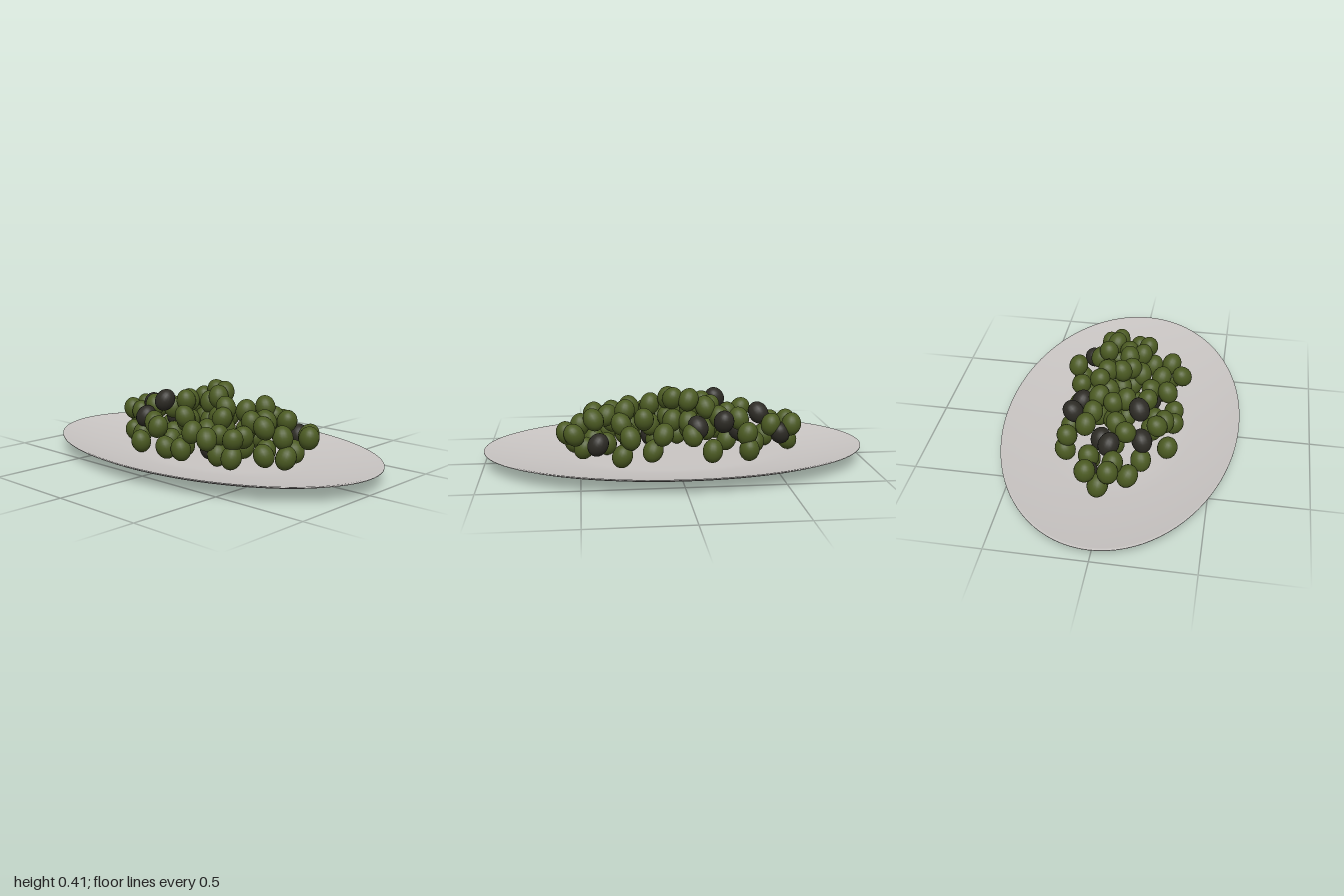
import * as THREE from 'three';

const material = (name, color) => {
  const m = new THREE.MeshStandardMaterial({ color });
  m.name = name;
  return m;
};

// Heap layers: height of the olive centres and their [x, z] places.
const greenLayers = [
  { y: 0.1, at: [[-0.5, 0.1], [-0.26, 0.27], [-0.06, 0.28], [0.04, 0.27], [0.35, 0.23], [-0.6, -0.03],
    [-0.41, -0.1], [-0.36, -0.24], [-0.17, -0.25], [0.13, -0.2], [0.29, -0.27], [0.53, 0.03],
    [0.48, -0.1], [0.43, 0.08], [0.22, 0.19], [-0.38, 0.15], [-0.14, 0.17], [-0.28, 0],
    [0.24, 0.01], [0.36, -0.02], [0.1, 0.05], [-0.03, 0.17]] },
  { y: 0.19, at: [[-0.61, -0.09], [-0.6, 0.02], [-0.5, -0.09], [-0.52, 0.03], [-0.35, -0.23], [-0.22, 0.21],
    [-0.16, 0.24], [-0.07, -0.22], [0.08, 0.23], [0.24, 0.29], [0.08, -0.24], [0.25, -0.29],
    [0.53, -0.15], [0.57, -0.1], [0.5, 0.02], [0.33, 0.12], [0.22, 0.18], [0.1, 0.14], [0.35, 0.22]] },
  { y: 0.245, at: [[-0.36, 0.07], [-0.32, -0.14], [-0.28, 0.01], [-0.06, 0.14], [0.15, 0.08], [0.29, -0.17],
    [0.43, -0.1], [0.36, -0.02], [0.33, 0.06], [0.43, 0.08], [0.17, -0.1], [-0.22, -0.12]] },
  { y: 0.295, at: [[-0.15, 0.04], [-0.18, -0.02], [-0.15, -0.1], [0.13, 0.03], [0.24, 0],
    [0.27, -0.12], [-0.07, -0.06]] },
  { y: 0.34, at: [[0.04, -0.01], [-0.06, -0.11], [0.02, -0.08]] },
];
const darkOlives = [[-0.45, 0.24, 0], [-0.35, 0.2, 0.15], [-0.23, 0.3, 0.12], [-0.23, 0.25, -0.22],
  [-0.1, 0.22, -0.2], [-0.55, 0.15, -0.09], [-0.33, 0.17, -0.06], [0.41, 0.15, -0.23], [0.12, 0.1, 0.14]];

// Oval plate: a closed lathe profile squeezed along z.
function createPlate(glaze) {
  const profile = [[0, 0.012], [0.4, 0.012], [0.49, 0.004], [0.51, 0], [0.53, 0], [0.58, 0.012],
    [0.66, 0.026], [0.78, 0.038], [0.9, 0.053], [0.97, 0.066], [1, 0.075], [1, 0.079],
    [0.985, 0.079], [0.93, 0.069], [0.78, 0.052], [0.62, 0.038], [0.5, 0.031], [0, 0.031]]
    .map(([r, y]) => new THREE.Vector2(r, y));
  const plate = new THREE.Mesh(new THREE.LatheGeometry(profile, 96), glaze);
  plate.name = 'plate';
  plate.scale.z = 0.623;
  return plate;
}

export function createModel() {
  const model = new THREE.Group();
  model.name = 'plateOfOlives';
  const green = material('olive green', 0x4b5a22);
  const black = material('black olive', 0x2d2b25);
  model.add(createPlate(material('plate glaze', 0xc9c5c3)));

  let seed = 7;
  const wobble = (amount) => {
    seed = (seed * 16807) % 2147483647;
    return (seed / 2147483647 * 2 - 1) * amount;
  };

  // Olives: slightly stretched spheres standing at small random tilts.
  const oliveGeometry = new THREE.SphereGeometry(0.052, 20, 14);
  const heap = new THREE.Group();
  heap.name = 'oliveHeap';
  const addOlive = (name, x, y, z, skin) => {
    const olive = new THREE.Mesh(oliveGeometry, skin);
    olive.name = name;
    olive.position.set(x, y, z);
    olive.scale.set(1, 1.18, 1);
    olive.rotation.set(wobble(0.5), 0, wobble(0.5));
    heap.add(olive);
  };

  for (const { y, at } of greenLayers) {
    for (const [x, z] of at) {
      addOlive('greenOlive', x, y + wobble(0.008), z, green);
      // Supporting olives inside the taller part of the heap
      if (y > 0.27) addOlive('innerOlive', x, y - 0.11, z, green);
    }
  }
  for (const [x, y, z] of darkOlives) addOlive('blackOlive', x, y, z, black);
  model.add(heap);
  return model;
}
